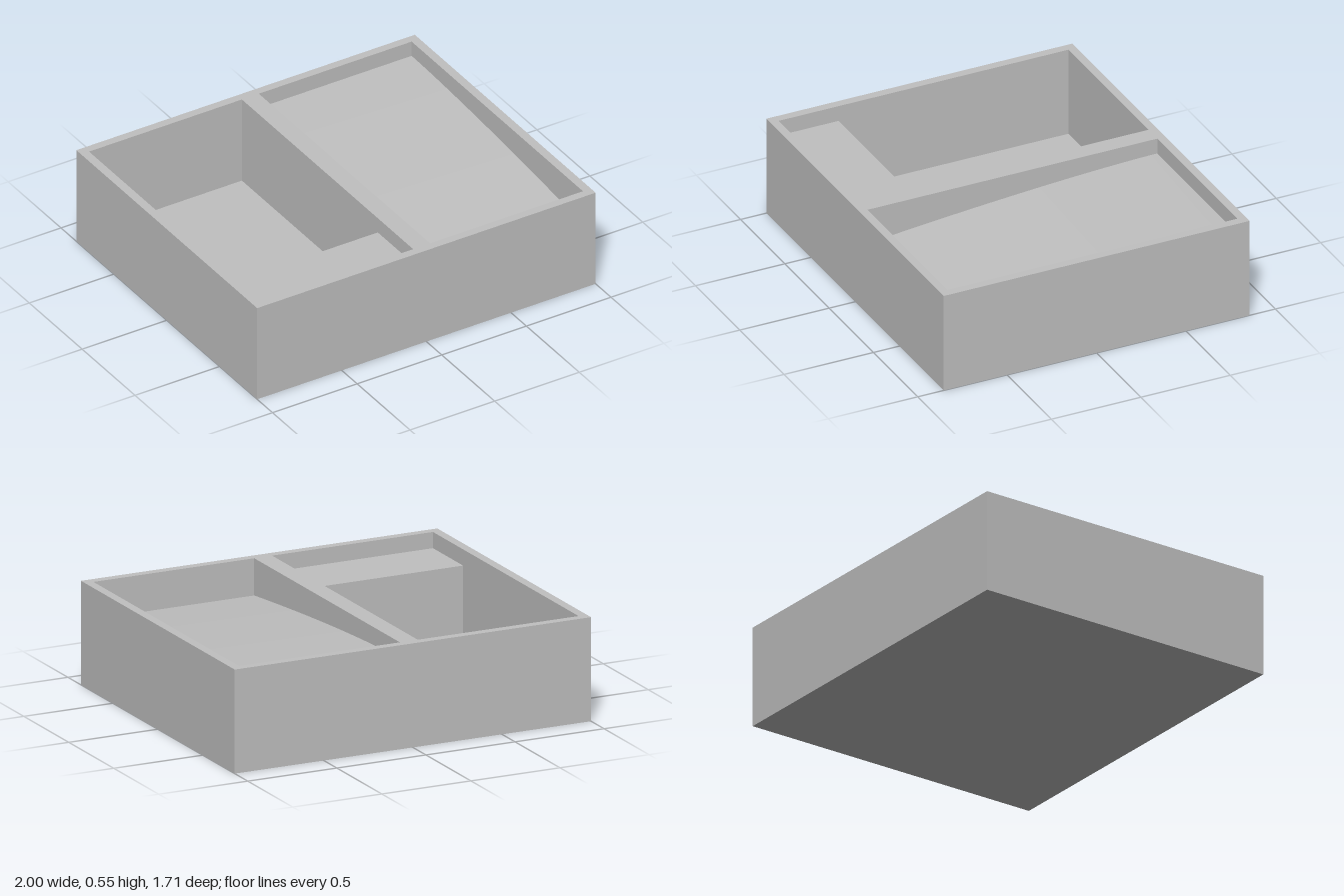
import * as THREE from 'three';
import { toCreasedNormals } from 'three/addons/utils/BufferGeometryUtils.js';

const TOP = 0.545, HALF_X = 1, HALF_Z = 0.855;
const IN_X = 0.953, IN_Z = 0.81, DIVIDER = 0.05;
const FLOOR = 0.06, SHELF = 0.46;

// Removes the triangles lying in the top plane; optionally turns the faces inward
function openTop(geometry, inward) {
  const src = (geometry.index ? geometry.toNonIndexed() : geometry).attributes.position;
  const kept = [];
  for (let i = 0; i < src.count; i += 3) {
    const order = inward ? [i, i + 2, i + 1] : [i, i + 1, i + 2];
    if (order.every((k) => src.getY(k) > TOP - 1e-4)) continue;
    for (const k of order) kept.push(src.getX(k), src.getY(k), src.getZ(k));
  }
  const open = new THREE.BufferGeometry();
  open.setAttribute('position', new THREE.Float32BufferAttribute(kept, 3));
  return toCreasedNormals(open, 0.5);
}

// Pocket lining: a side profile of [z, y] floor points, back to front, swept from x0 to x1
function pocketGeometry(x0, x1, floor) {
  const outline = [[-IN_Z, TOP], ...floor, [IN_Z, TOP]];
  const shape = new THREE.Shape(outline.map(([z, y]) => new THREE.Vector2(z, y)));
  const solid = new THREE.ExtrudeGeometry(shape, { depth: x1 - x0, bevelEnabled: false });
  solid.rotateY(-Math.PI / 2).translate(x1, 0, 0);
  return openTop(solid, true);
}

function rectangle(path, x0, x1, z) {
  path.moveTo(x0, -z);
  path.lineTo(x1, -z);
  path.lineTo(x1, z);
  path.lineTo(x0, z);
  path.closePath();
  return path;
}

export function createModel() {
  const group = new THREE.Group();
  group.name = 'dividedTray';
  const grey = new THREE.MeshStandardMaterial({ color: 0xc0c0c0 });
  grey.name = 'lightGrey';

  const add = (name, geometry) => {
    const mesh = new THREE.Mesh(geometry, grey);
    mesh.name = name;
    group.add(mesh);
  };

  // Outer sides and underside
  const box = new THREE.BoxGeometry(HALF_X * 2, TOP, HALF_Z * 2).translate(0, TOP / 2, 0);
  add('outerShell', openTop(box, false));

  // Flat rim with the divider between the two openings
  const rim = rectangle(new THREE.Shape(), -HALF_X, HALF_X, HALF_Z);
  rim.holes.push(
    rectangle(new THREE.Path(), -IN_X, -DIVIDER, IN_Z),
    rectangle(new THREE.Path(), DIVIDER, IN_X, IN_Z)
  );
  add('rim', new THREE.ShapeGeometry(rim).rotateX(-Math.PI / 2).translate(0, TOP, 0));

  // Deep pocket with a raised shelf at the front
  const shelfZ = 0.475;
  add('deepPocket', pocketGeometry(-IN_X, -DIVIDER, [
    [-IN_Z, FLOOR], [shelfZ, FLOOR], [shelfZ, SHELF], [IN_Z, SHELF]
  ]));

  // Shallow pocket whose gently curved floor falls toward the front
  const ramp = [];
  const steps = 16;
  for (let i = 0; i <= steps; i++) {
    const t = i / steps;
    ramp.push([-IN_Z + 2 * IN_Z * t, SHELF - 0.11 * Math.pow(t, 1.5)]);
  }
  add('slopedPocket', pocketGeometry(DIVIDER, IN_X, ramp));

  return group;
}
